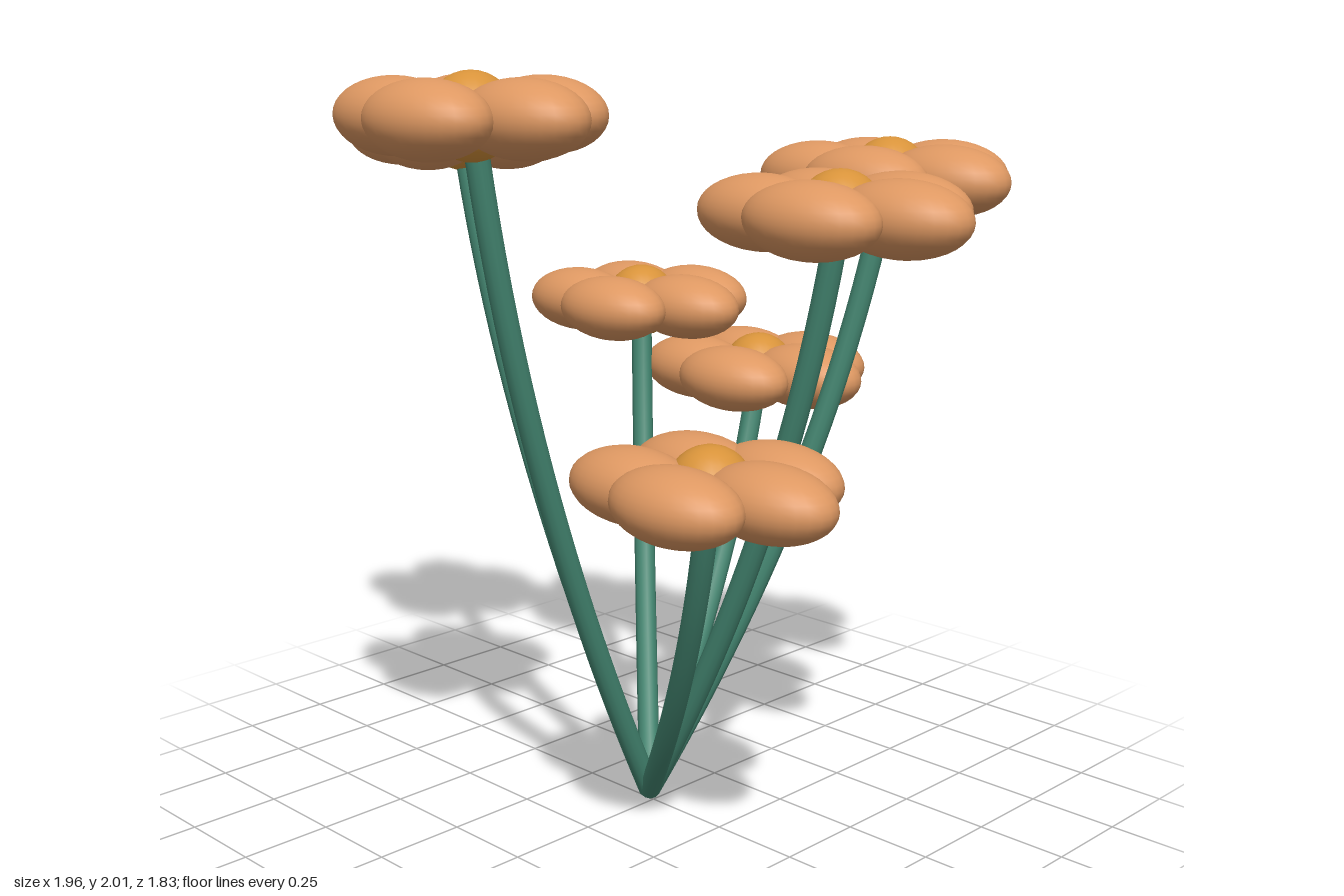
import * as THREE from 'three';

const mat = (name, color) => {
  const m = new THREE.MeshStandardMaterial({ color });
  m.name = name;
  return m;
};

// head centre of each flower
const HEADS = [
  [0.03, 1.895, 0.62],
  [-0.655, 1.81, 0.095],
  [0.36, 1.71, -0.515],
  [0.61, 1.67, -0.005],
  [-0.49, 1.3, -0.44],
  [-0.185, 1.11, -0.625],
  [0.515, 1.05, 0.33],
];
const BASE = new THREE.Vector3(-0.025, 0.015, -0.01);
const STEM_RADIUS = 0.03;

export function createModel() {
  const petalMat = mat('apricot petal', 0xde9862);
  const heartMat = mat('golden heart', 0xd8933a);
  const stemMat = mat('green stem', 0x438570);

  const petalGeo = new THREE.SphereGeometry(1, 28, 18).scale(0.183, 0.092, 0.118);
  const heartGeo = new THREE.SphereGeometry(0.105, 24, 16);
  const capGeo = new THREE.CircleGeometry(STEM_RADIUS, 12);

  const add = (parent, name, geo, material, position) => {
    const mesh = new THREE.Mesh(geo, material);
    mesh.name = name;
    if (position) mesh.position.copy(position);
    parent.add(mesh);
    return mesh;
  };

  const bouquet = new THREE.Group();
  bouquet.name = 'bouquet';

  for (const h of HEADS) {
    const head = new THREE.Vector3(...h);
    const flower = new THREE.Group();
    flower.name = 'flower';
    bouquet.add(flower);

    // stem leans outward, then bends upright
    const d = head.clone().sub(BASE);
    const bend = BASE.clone().add(new THREE.Vector3(d.x * 0.78, d.y * 0.52, d.z * 0.78));
    const curve = new THREE.QuadraticBezierCurve3(BASE, bend, head);
    add(flower, 'stem', new THREE.TubeGeometry(curve, 24, STEM_RADIUS, 12), stemMat);
    const cap = add(flower, 'stemEnd', capGeo, stemMat, BASE);
    cap.lookAt(BASE.clone().sub(curve.getTangent(0)));

    // round heart with five petals, all stretched along x
    add(flower, 'heart', heartGeo, heartMat, head);
    for (let i = 0; i < 5; i++) {
      const a = (i / 5) * Math.PI * 2;
      const offset = new THREE.Vector3(Math.cos(a), 0, Math.sin(a)).multiplyScalar(0.181);
      add(flower, 'petal', petalGeo, petalMat, offset.add(head));
    }
  }
  return bouquet;
}
